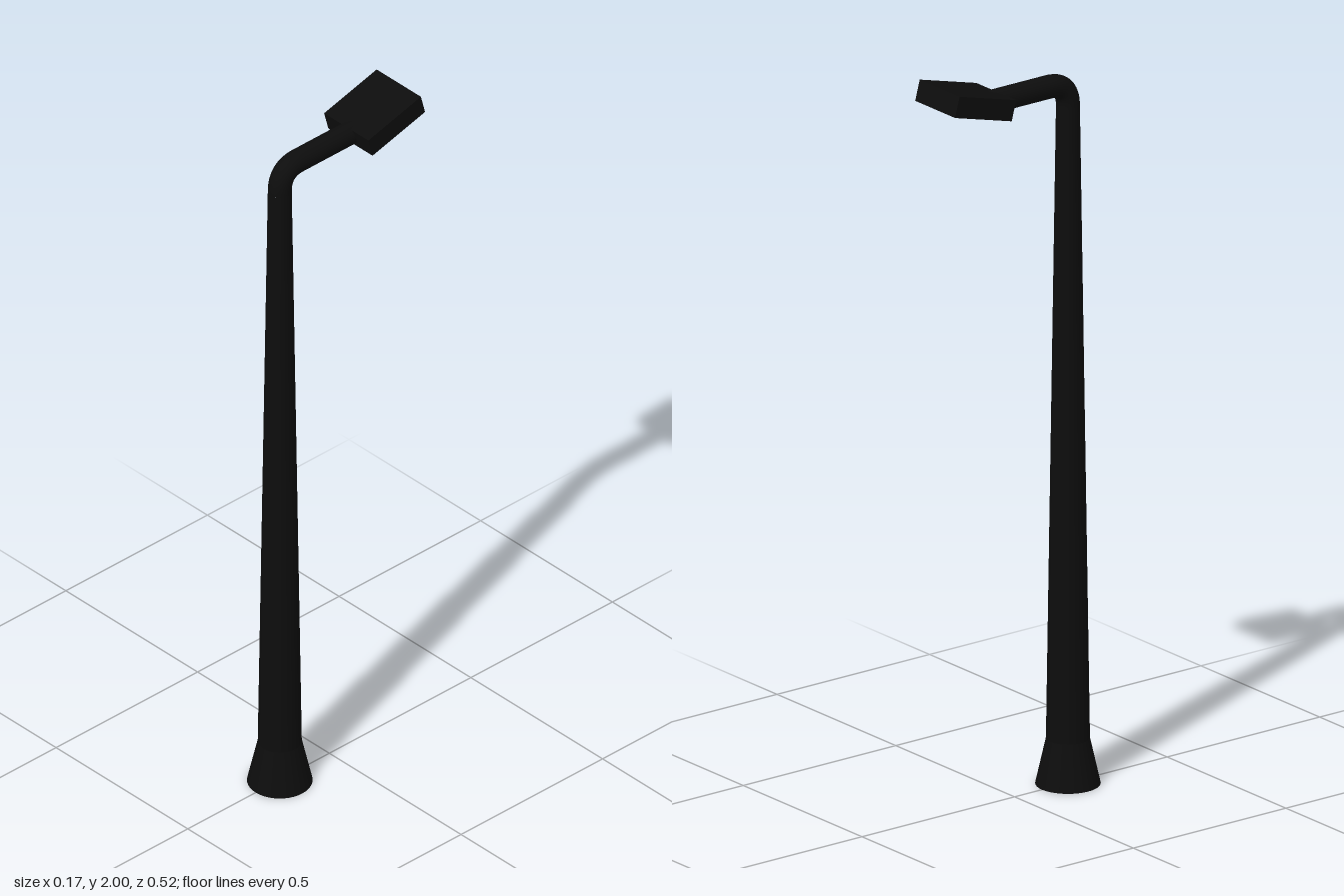
import * as THREE from 'three';

export function createModel() {
  const model = new THREE.Group();
  model.name = 'streetLamp';

  const black = new THREE.MeshStandardMaterial({ color: 0x0d0d0d });
  black.name = 'black metal';
  const glass = new THREE.MeshStandardMaterial({ color: 0xc0c0c0 });
  glass.name = 'pale lamp glass';

  const poleZ = 0.175, armR = 0.031, armY = 1.925, bend = 0.065;

  const add = (name, geometry, material, parent = model) => {
    const mesh = new THREE.Mesh(geometry, material);
    mesh.name = name;
    parent.add(mesh);
    return mesh;
  };

  // Flared foot and tapering pole
  const footH = 0.125, poleTop = armY - bend;
  add('foot', new THREE.CylinderGeometry(0.057, 0.085, footH, 40), black)
    .position.set(0, footH / 2, poleZ);
  add('pole', new THREE.CylinderGeometry(armR, 0.057, poleTop - footH, 40, 1, true), black)
    .position.set(0, (poleTop + footH) / 2, poleZ);

  // Rounded elbow and horizontal arm
  const path = new THREE.CurvePath();
  const corner = new THREE.Vector3(0, armY, poleZ);
  const elbowStart = new THREE.Vector3(0, poleTop, poleZ);
  const elbowEnd = new THREE.Vector3(0, armY, poleZ - bend);
  path.add(new THREE.QuadraticBezierCurve3(elbowStart, corner, elbowEnd));
  path.add(new THREE.LineCurve3(elbowEnd, new THREE.Vector3(0, armY, -0.085)));
  add('arm', new THREE.TubeGeometry(path, 48, armR, 32), black);

  // Lamp head, tilted up towards its far end
  const head = new THREE.Group();
  head.name = 'lampHead';
  head.position.set(0, 1.947, -0.16);
  head.rotation.x = THREE.MathUtils.degToRad(15);
  model.add(head);
  const thick = 0.057;
  add('housing', new THREE.BoxGeometry(0.168, thick, 0.192), black, head);
  add('lightPanel', new THREE.BoxGeometry(0.14, 0.004, 0.164), glass, head)
    .position.y = -thick / 2;

  return model;
}
